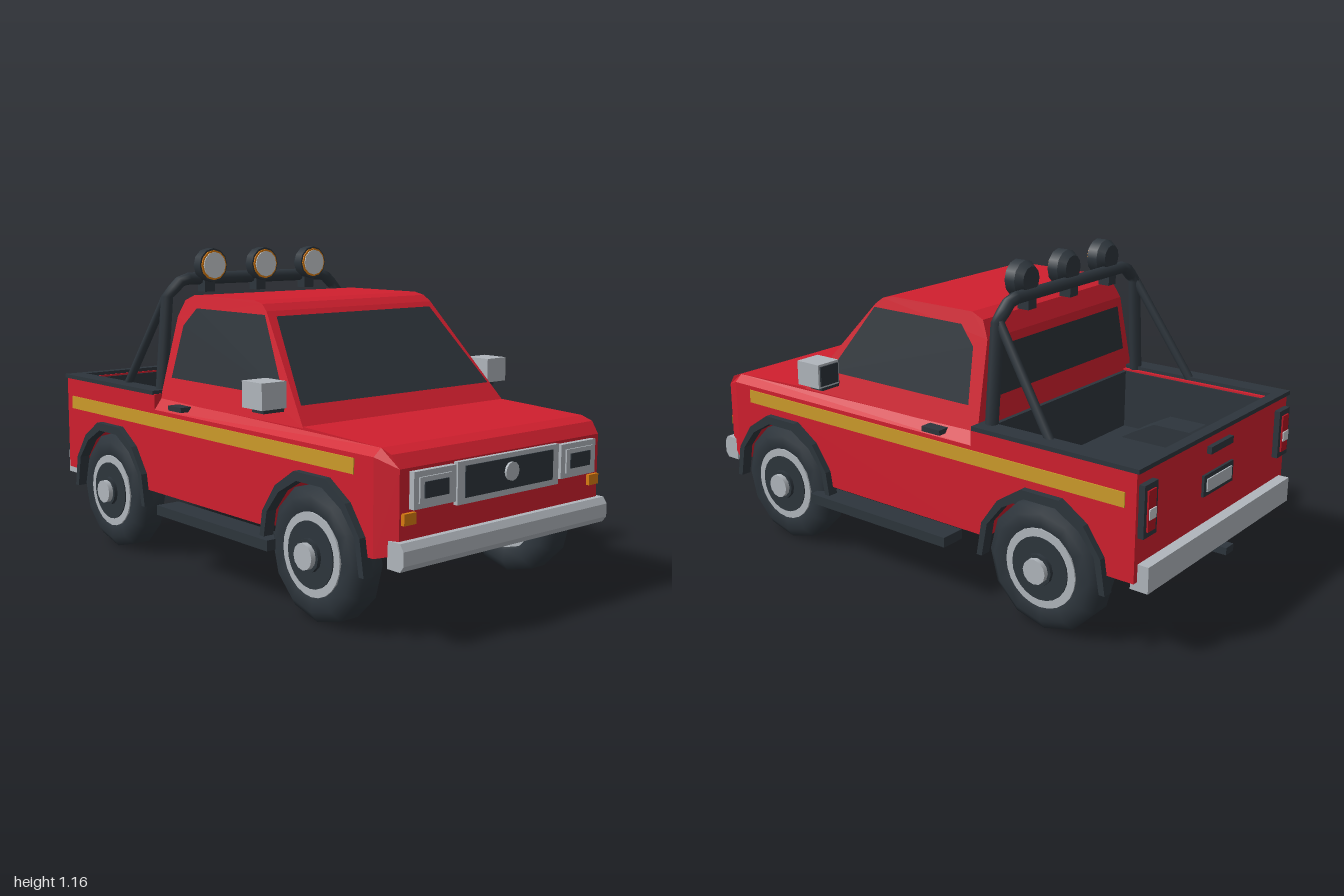
import * as THREE from 'three';

const paint = (name, color) => {
  const m = new THREE.MeshStandardMaterial({ color });
  m.name = name;
  return m;
};

export function createModel() {
  const truck = new THREE.Group();
  truck.name = 'pickupTruck';
  const red = paint('bodyRed', 0xd01f2e);
  const black = paint('trimBlack', 0x2d353c);
  const glass = paint('glassDark', 0x2b3238);
  glass.side = THREE.DoubleSide;
  const chrome = paint('chromeGrey', 0xb0b6bc);
  const lens = paint('lensWhite', 0xc8ccd0);
  const yellow = paint('stripeYellow', 0xcd9b2a);
  const orange = paint('signalOrange', 0xd87c10);
  const tailRed = paint('tailLightRed', 0xb01522);

  const add = (name, geo, mat, parent = truck) => {
    const m = new THREE.Mesh(geo, mat);
    m.name = name;
    parent.add(m);
    return m;
  };
  // box from its limits
  const box = (name, mat, x0, x1, y0, y1, z0, z1) => {
    const g = new THREE.BoxGeometry(Math.abs(x1 - x0), y1 - y0, z1 - z0);
    return add(name, g.translate((x0 + x1) / 2, (y0 + y1) / 2, (z0 + z1) / 2), mat);
  };
  // side profile of [z, y] points spanning from x = lo to x = hi, each a rule of (z, y)
  const prism = (name, mat, pts, hi, lo) => {
    const shape = new THREE.Shape(pts.map((p) => new THREE.Vector2(...p)));
    const g = new THREE.ExtrudeGeometry(shape, { depth: 1, bevelEnabled: false });
    const p = g.attributes.position;
    for (let i = 0; i < p.count; i++) {
      const z = p.getX(i), y = p.getY(i);
      p.setXYZ(i, (p.getZ(i) < 0.5 ? hi : lo)(z, y), y, z);
    }
    g.computeVertexNormals();
    return add(name, g, mat);
  };
  const full = (name, mat, pts, w) => prism(name, mat, pts, w, (z, y) => -w(z, y));
  const slab = (name, mat, pts, a, b) => prism(name, mat, pts, () => Math.max(a, b), () => Math.min(a, b));
  // flat pane through a convex loop of corners
  const pane = (name, pts) => {
    const g = new THREE.BufferGeometry().setFromPoints(pts.map((p) => new THREE.Vector3(...p)));
    const idx = [];
    for (let i = 1; i < pts.length - 1; i++) idx.push(0, i, i + 1);
    g.setIndex(idx);
    g.computeVertexNormals();
    return add(name, g, glass);
  };
  // faceted arch over a wheel, listed from front to back
  const arch = (zc, half) => [
    ...half.map(([d, y]) => [zc + d, y]),
    ...[...half].reverse().map(([d, y]) => [zc - d, y]),
  ];
  const opening = [[0.235, 0.27], [0.218, 0.33], [0.158, 0.41], [0.065, 0.465]];
  const flareOut = [[0.257, 0.21], [0.237, 0.33], [0.17, 0.425], [0.075, 0.487]];
  const flareIn = [[0.235, 0.21], [0.213, 0.33], [0.152, 0.405], [0.062, 0.457]];
  const wheelZ = { front: 0.62, rear: -0.59 };
  const sides = [['left', 1], ['right', -1]];

  // main body with wheel tunnels, shoulder and nose
  full('lowerBody', red, [[0.89, 0.27], ...arch(wheelZ.front, opening), [-0.29, 0.27], [-0.29, 0.58], [0.89, 0.58]], () => 0.505);
  full('hoodShoulder', red, [[0.89, 0.58], [-0.29, 0.58], [-0.29, 0.62], [0.53, 0.62], [0.89, 0.605]], (z, y) => (y > 0.6 ? 0.475 : 0.505));
  full('nose', red, [[0.965, 0.29], [0.89, 0.27], [0.89, 0.58], [0.89, 0.605], [0.935, 0.59], [0.965, 0.55]],
    (z, y) => (z > 0.95 ? 0.47 : z > 0.9 || y > 0.6 ? 0.475 : 0.505));

  // cab, narrowing towards the roof
  const cabW = (z, y) => 0.475 - 0.24 * (y - 0.62);
  full('cab', red, [[0.53, 0.615], [0.235, 0.967], [0.205, 0.99], [0.16, 1], [-0.2, 1], [-0.25, 0.98], [-0.28, 0.92], [-0.295, 0.615]], cabW);
  pane('windscreen', [[-0.445, 0.68, 0.482], [0.445, 0.68, 0.482], [0.365, 0.95, 0.256], [-0.365, 0.95, 0.256]]);
  pane('rearWindow', [[0.41, 0.72, -0.295], [-0.41, 0.72, -0.295], [-0.375, 0.89, -0.287], [0.375, 0.89, -0.287]]);

  // cargo bed
  box('bedFloor', black, -0.43, 0.43, 0.38, 0.41, -0.91, -0.28);
  box('bedFrontLining', black, -0.42, 0.42, 0.4, 0.63, -0.31, -0.28);
  box('tailgate', red, -0.505, 0.505, 0.27, 0.637, -0.935, -0.9);
  box('tailgateLining', black, -0.42, 0.42, 0.4, 0.63, -0.9, -0.893);
  box('tailgateRail', black, -0.51, 0.51, 0.635, 0.65, -0.945, -0.905);
  box('tailgateHandle', black, -0.075, 0.075, 0.575, 0.6, -0.952, -0.93);
  box('plateFrame', black, -0.1, 0.1, 0.43, 0.505, -0.944, -0.93);
  box('numberPlate', chrome, -0.083, 0.083, 0.445, 0.49, -0.949, -0.94);
  box('rearBumper', chrome, -0.485, 0.485, 0.24, 0.33, -0.975, -0.91);
  box('towHitch', black, -0.025, 0.025, 0.212, 0.238, -1, -0.9);

  // front bumper with chamfered lips, grille and badge disc
  full('frontBumper', chrome, [[0.93, 0.245], [0.985, 0.245], [1, 0.265], [1, 0.31], [0.985, 0.332], [0.93, 0.332]], () => 0.485);
  box('grilleFrame', chrome, -0.24, 0.24, 0.41, 0.545, 0.95, 0.982);
  box('grille', black, -0.208, 0.208, 0.43, 0.53, 0.97, 0.986);
  add('grilleDisc', new THREE.CylinderGeometry(0.031, 0.031, 0.02, 12).rotateX(Math.PI / 2).translate(0, 0.487, 0.984), chrome);

  const tube = (name, pts, r) => {
    const path = new THREE.CurvePath();
    const v = pts.map((p) => new THREE.Vector3(...p));
    for (let i = 1; i < v.length; i++) path.add(new THREE.LineCurve3(v[i - 1], v[i]));
    return add(name, new THREE.TubeGeometry(path, 40, r, 8), black);
  };

  for (const [side, s] of sides) {
    const sbox = (name, mat, x0, x1, ...r) => box(side + name, mat, s * x0, s * x1, ...r);
    // bed side, lining, inner wheel well and rail
    slab(side + 'BedSide', red, [[-0.29, 0.27], ...arch(wheelZ.rear, opening), [-0.93, 0.27], [-0.93, 0.637], [-0.29, 0.637]], s * 0.42, s * 0.505);
    sbox('BedLining', black, 0.412, 0.42, 0.4, 0.63, -0.9, -0.29);
    slab(side + 'WheelWell', black, arch(wheelZ.rear, [[0.23, 0.4], [0.165, 0.44], [0.075, 0.488]]), s * 0.29, s * 0.42);
    sbox('BedRail', black, 0.435, 0.51, 0.635, 0.65, -0.94, -0.295);

    // side window, stripe, handle, step and mirror
    pane(side + 'SideWindow', [[0.41, 0.7], [0.235, 0.955], [-0.165, 0.955], [-0.228, 0.89], [-0.243, 0.7]]
      .map(([z, y]) => [s * (cabW(z, y) + 0.004), y, z]));
    sbox('Stripe', yellow, 0.502, 0.509, 0.515, 0.565, -0.895, 0.805);
    sbox('DoorHandle', black, 0.48, 0.525, 0.594, 0.612, -0.17, -0.09);
    sbox('RunningBoard', black, 0.46, 0.555, 0.207, 0.243, -0.21, 0.44);
    sbox('MirrorArm', black, 0.44, 0.55, 0.655, 0.674, 0.36, 0.42);
    sbox('Mirror', chrome, 0.48, 0.58, 0.672, 0.76, 0.345, 0.45);
    sbox('MirrorGlass', glass, 0.488, 0.572, 0.68, 0.752, 0.339, 0.346);

    // headlight, indicator and tail light
    sbox('HeadlightFrame', chrome, 0.25, 0.43, 0.425, 0.54, 0.95, 0.985);
    sbox('HeadlightBezel', chrome, 0.272, 0.41, 0.442, 0.522, 0.98, 0.991);
    sbox('HeadlightLens', black, 0.29, 0.392, 0.457, 0.507, 0.986, 0.995);
    sbox('Indicator', orange, 0.412, 0.462, 0.38, 0.416, 0.94, 0.978);
    sbox('TailLightFrame', black, 0.415, 0.492, 0.42, 0.595, -0.956, -0.925);
    sbox('TailLight', tailRed, 0.432, 0.477, 0.44, 0.575, -0.962, -0.95);
    sbox('ReverseLight', lens, 0.435, 0.474, 0.48, 0.515, -0.966, -0.96);

    // wheels and arch flares
    for (const [end, zc] of Object.entries(wheelZ)) {
      slab(side + end + 'Flare', black, [...arch(zc, flareOut), ...arch(zc, flareIn).reverse()], s * 0.49, s * 0.53);
      const wheel = new THREE.Group();
      wheel.name = `${end}${side}Wheel`;
      wheel.position.set(s * 0.457, 0.228, zc);
      wheel.rotation.z = (-s * Math.PI) / 2;
      truck.add(wheel);
      const tyre = [[0.125, -0.05], [0.145, -0.06], [0.19, -0.063], [0.226, -0.035], [0.226, 0.035], [0.19, 0.063], [0.145, 0.06], [0.125, 0.05]];
      add('tyre', new THREE.LatheGeometry(tyre.map((p) => new THREE.Vector2(...p)), 12), black, wheel);
      const disc = (name, r, y0, y1, mat, n) =>
        add(name, new THREE.CylinderGeometry(r, r, y1 - y0, n).translate(0, (y0 + y1) / 2, 0), mat, wheel);
      disc('rim', 0.138, -0.056, 0.063, chrome, 24);
      disc('wheelFace', 0.11, 0.05, 0.067, black, 24);
      disc('hubBase', 0.055, 0.06, 0.08, black, 12);
      disc('hubCap', 0.044, 0.06, 0.098, chrome, 12);
    }

    // roll bar brace
    tube(side + 'RollBarBrace', [[s * 0.415, 0.99, -0.34], [s * 0.445, 0.64, -0.57]], 0.016);
  }

  // roll bar hoop and roof lamps
  tube('rollBar', [[-0.447, 0.63, -0.332], [-0.415, 0.99, -0.332], [-0.345, 1.053, -0.332],
    [0.345, 1.053, -0.332], [0.415, 0.99, -0.332], [0.447, 0.63, -0.332]], 0.023);
  for (const x of [-0.243, 0, 0.243]) {
    box('lampBracket', black, x - 0.023, x + 0.023, 1.003, 1.07, -0.345, -0.3);
    const lamp = new THREE.Group();
    lamp.name = 'roofLamp';
    lamp.position.set(x, 1.103, -0.3);
    lamp.rotation.x = Math.PI / 2;
    truck.add(lamp);
    const ring = (name, rt, rb, h, y, mat) =>
      add(name, new THREE.CylinderGeometry(rt, rb, h, 12).translate(0, y, 0), mat, lamp);
    ring('lampHousing', 0.063, 0.063, 0.04, 0.005, black);
    ring('lampBack', 0.063, 0.045, 0.025, -0.0275, black);
    ring('lampRing', 0.056, 0.056, 0.006, 0.027, orange);
    ring('lampLens', 0.049, 0.049, 0.006, 0.031, lens);
  }
  return truck;
}
